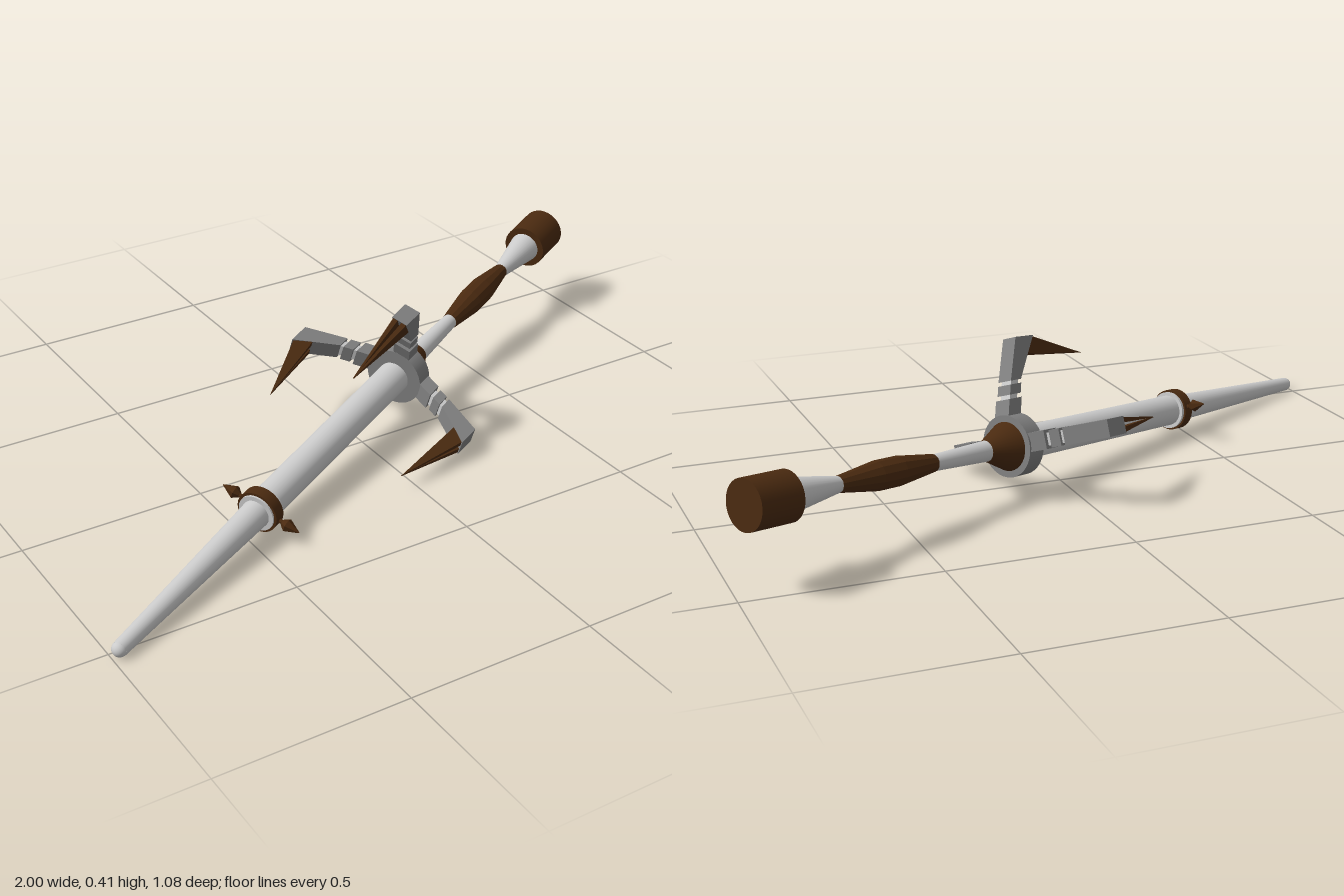
import * as THREE from 'three';

const mat = (color, flatShading = false) => new THREE.MeshStandardMaterial({ color, flatShading });
const pale = mat(0xcccccc), paleFlat = mat(0xcccccc, true);
const steel = mat(0x808080), steelFlat = mat(0x808080, true);
const brown = mat(0x4a2a10), brownFlat = mat(0x4a2a10, true);

function add(parent, name, geometry, material) {
  const mesh = new THREE.Mesh(geometry, material);
  mesh.name = name;
  parent.add(mesh);
  return mesh;
}

// Round section along the weapon's axis, from height s0 (radius r0) to s1 (radius r1)
function section(parent, name, s0, r0, s1, r1, material, sides = 32) {
  const mesh = add(parent, name, new THREE.CylinderGeometry(r1, r0, s1 - s0, sides), material);
  mesh.position.y = (s0 + s1) / 2;
  return mesh;
}

// Flat plate from (radius, height) corners, with its thickness centred on z
function plate(points, depth) {
  const shape = new THREE.Shape(points.map(([r, s]) => new THREE.Vector2(r, s)));
  return new THREE.ExtrudeGeometry(shape, { depth, bevelEnabled: false }).translate(0, 0, -depth / 2);
}

// Short arm block that follows the arm's backward slope
function block(r0, r1, thick) {
  const mid = r => 1.255 - 0.375 * (r - 0.165);
  return [[r0, mid(r0) - thick], [r1, mid(r1) - thick], [r1, mid(r1) + thick], [r0, mid(r0) + thick]];
}

// One prong: jointed arm, elbow and a split claw reaching forward
function prong(angle) {
  const g = new THREE.Group();
  g.name = 'prong';
  add(g, 'armCore', plate(block(0.07, 0.18, 0.014), 0.034), paleFlat);
  add(g, 'armBase', plate(block(0.07, 0.121, 0.024), 0.05), steelFlat);
  add(g, 'armJoint', plate(block(0.132, 0.158, 0.021), 0.046), steelFlat);
  add(g, 'armElbow', plate([[0.168, 1.235], [0.23, 1.19], [0.278, 1.155], [0.28, 1.225], [0.168, 1.275]], 0.046), steelFlat);

  // Two blades that converge at the claw tip
  const tip = 0.948, base = 1.19;
  for (const side of [-1, 1]) {
    const geo = plate([[0.21, tip], [0.276, 1.16], [0.232, base]], 0.016);
    const p = geo.attributes.position;
    for (let i = 0; i < p.count; i++) {
      const k = (p.getY(i) - tip) / (base - tip);
      p.setZ(i, p.getZ(i) * (0.15 + 0.85 * k) + side * 0.015 * k);
    }
    geo.computeVertexNormals();
    add(g, 'clawBlade', geo, brownFlat);
  }
  g.rotation.y = angle;
  return g;
}

export function createModel() {
  const model = new THREE.Group();
  model.name = 'prongedStaff';
  const body = new THREE.Group(); // upright: tip at 0, pommel at the top
  body.name = 'staff';
  model.add(body);

  // Shaft with rounded tip
  const tip = add(body, 'shaftTip', new THREE.SphereGeometry(0.02, 24, 12), pale);
  tip.position.y = 0.002;
  section(body, 'shaftTaper', 0, 0.02, 0.59, 0.039, pale);
  section(body, 'shaft', 0.59, 0.043, 1.28, 0.045, pale);

  // Collar with two side spikes
  section(body, 'collarBand', 0.572, 0.058, 0.604, 0.058, brown);
  section(body, 'collarLiner', 0.567, 0.051, 0.613, 0.053, pale);
  for (const side of [-1, 1]) {
    const spike = new THREE.Group();
    spike.name = 'collarSpike';
    section(spike, 'spikeStem', 0.05, 0.006, 0.078, 0.006, brownFlat, 6);
    section(spike, 'spikeBase', 0.066, 0.008, 0.08, 0.018, brownFlat, 6);
    section(spike, 'spikePoint', 0.08, 0.018, 0.117, 0.001, brownFlat, 6);
    spike.rotation.z = -side * Math.PI / 2;
    spike.position.y = 0.59;
    body.add(spike);
  }

  // Guard ring, its cone and three prongs
  section(body, 'guardRing', 1.262, 0.083, 1.315, 0.083, steel);
  section(body, 'guardCone', 1.314, 0.066, 1.397, 0.028, brown);
  for (const angle of [0, -Math.PI / 2, Math.PI]) body.add(prong(angle));

  // Handle, grip and pommel
  section(body, 'handle', 1.39, 0.028, 1.6, 0.021, pale);
  section(body, 'gripLower', 1.59, 0.023, 1.715, 0.038, brownFlat, 12);
  section(body, 'gripMiddle', 1.715, 0.038, 1.79, 0.038, brownFlat, 12);
  section(body, 'gripUpper', 1.79, 0.038, 1.915, 0.021, brownFlat, 12);
  section(body, 'neck', 1.912, 0.02, 2.08, 0.046, pale);
  section(body, 'pommel', 2.075, 0.064, 2.203, 0.064, brown);

  // Lay the staff down along its slanted axis
  const axis = new THREE.Vector3(0.885, 0.094, -0.455).normalize();
  const up = new THREE.Vector3(0.074, 0.944, 0.327);
  const across = new THREE.Vector3().crossVectors(axis, up).normalize();
  up.crossVectors(across, axis);
  body.quaternion.setFromRotationMatrix(new THREE.Matrix4().makeBasis(across, axis, up));
  body.position.set(-0.98, 0.023, 0.52);
  return model;
}
